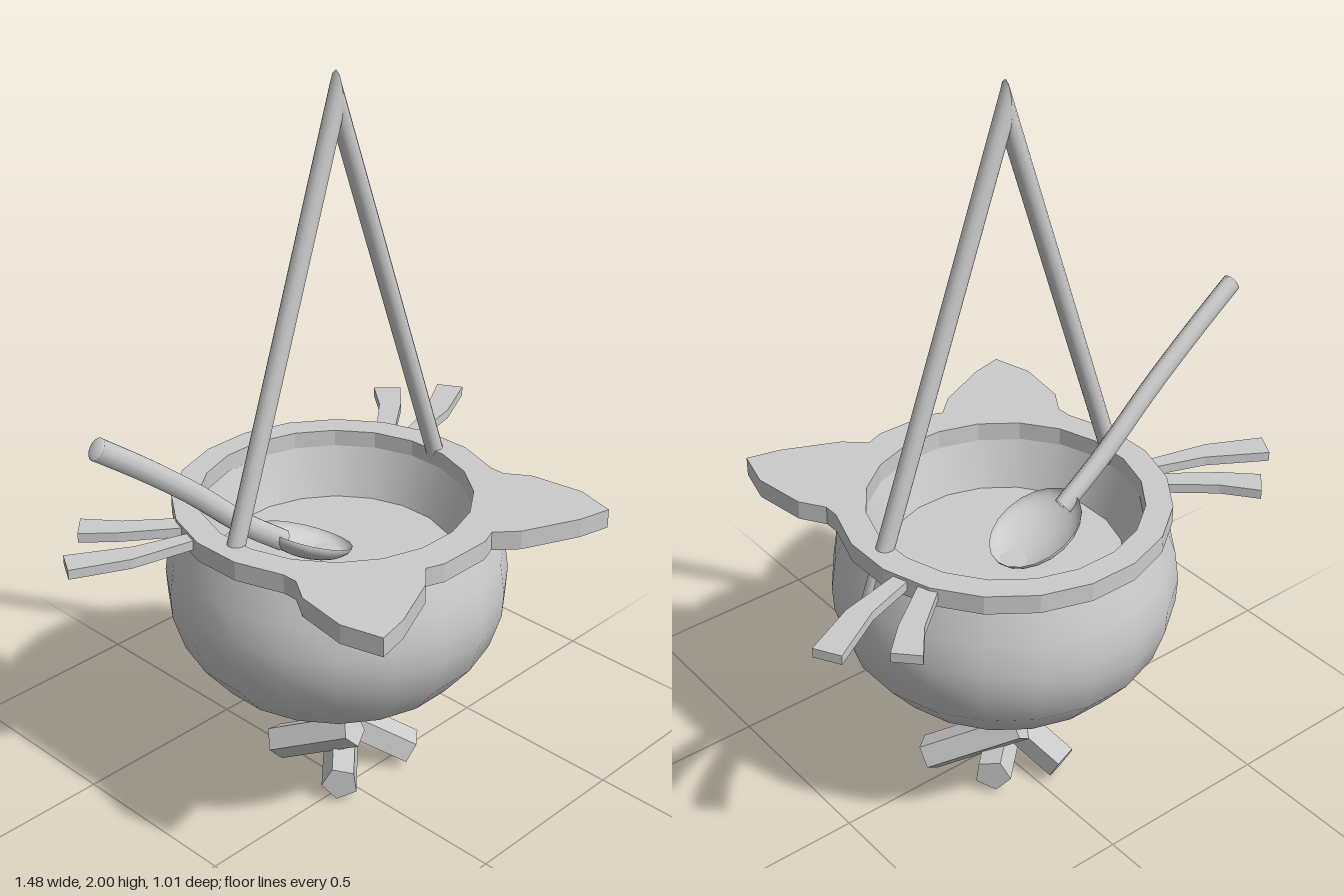
import * as THREE from 'three';

const CX = 0.017, CZ = -0.06, SIDES = 20;

export function createModel() {
  const model = new THREE.Group();
  const smooth = new THREE.MeshStandardMaterial({ color: 0xcccccc, side: THREE.DoubleSide });
  const flat = new THREE.MeshStandardMaterial({ color: 0xcccccc, flatShading: true, side: THREE.DoubleSide });
  const V = (x, y, z) => new THREE.Vector3(x, y, z);

  const add = (name, geometry, material) => {
    const mesh = new THREE.Mesh(geometry, material);
    mesh.name = name;
    model.add(mesh);
    return mesh;
  };

  // Revolved part around the pot's axis, from [radius, height] pairs
  const turned = (name, profile, material) => {
    const pts = profile.map(([r, y]) => new THREE.Vector2(r, y));
    const g = new THREE.LatheGeometry(pts, SIDES, Math.PI / SIDES);
    add(name, g.translate(CX, 0, CZ), material);
  };

  // Flat horizontal plate from [x, z] outline points
  const plate = (name, outline, y, depth, hole) => {
    const shape = new THREE.Shape(outline.map(([x, z]) => new THREE.Vector2(x, -z)));
    if (hole) shape.holes.push(new THREE.Path(hole.map(([x, z]) => new THREE.Vector2(x, -z))));
    const g = new THREE.ExtrudeGeometry(shape, { depth, bevelEnabled: false });
    add(name, g.rotateX(-Math.PI / 2).translate(0, y, 0), flat);
  };

  // Straight bar between two points
  const bar = (a, b, r, sides) => {
    const d = b.clone().sub(a);
    const g = new THREE.CylinderGeometry(r, r, d.length(), sides);
    g.applyQuaternion(new THREE.Quaternion().setFromUnitVectors(V(0, 1, 0), d.normalize()));
    const m = a.clone().add(b).multiplyScalar(0.5);
    return g.translate(m.x, m.y, m.z);
  };

  // Pot
  turned('potBase', [[0, 0.3], [0.138, 0.3], [0.24, 0.328]], flat);
  turned('potBody', [[0.24, 0.328], [0.342, 0.4], [0.418, 0.495], [0.448, 0.59],
    [0.452, 0.66], [0.44, 0.745], [0.406, 0.84]], smooth);
  turned('potInnerWall', [[0.357, 0.84], [0.312, 0.705]], smooth);
  turned('potContents', [[0.312, 0.705], [0, 0.705]], smooth);

  // Rim with two ears at the front
  const ringPoint = (k, r, cz) => {
    const a = (k + 0.5) * 2 * Math.PI / SIDES;
    return [CX + r * Math.cos(a), cz - r * Math.sin(a)];
  };
  const ear = [[0.383, 0.18], [0.425, 0.245], [0.447, 0.39], [0.418, 0.5],
    [0.33, 0.48], [0.178, 0.412], [0.122, 0.362], [0.075, 0.38]];
  const outline = [], hole = [];
  for (let k = -2; k <= 11; k++) outline.push(ringPoint(k, 0.43, -0.057));
  for (const [x, z] of ear) outline.push([CX - x, z]);
  for (const [x, z] of [...ear].reverse()) outline.push([CX + x, z]);
  for (let k = 0; k < SIDES; k++) hole.push(ringPoint(k, 0.357, -0.063));
  plate('rimWithEars', outline, 0.833, 0.052, hole);

  // Whiskers, two on each side
  const whiskers = [
    [[0.36, -0.26], [0.473, -0.355], [0.54, -0.44], [0.593, -0.385], [0.52, -0.315], [0.38, -0.21]],
    [[0.39, -0.185], [0.535, -0.235], [0.685, -0.325], [0.722, -0.26], [0.58, -0.19], [0.39, -0.145]],
  ];
  for (const s of [1, -1]) {
    for (const w of whiskers) {
      plate(s > 0 ? 'leftWhisker' : 'rightWhisker', w.map(([x, z]) => [CX + s * x, z]), 0.85, 0.026);
    }
  }

  // Hanger rods, mitred where they meet at the apex
  const apex = V(0.012, 1.927, -0.053);
  const feet = [['leftHangerRod', V(0.437, 0.738, -0.053)], ['rightHangerRod', V(-0.392, 0.738, -0.053)]];
  for (const [name, foot] of feet) {
    const g = bar(foot, apex, 0.024, 12);
    const d = apex.clone().sub(foot);
    const p = g.attributes.position;
    for (let i = 0; i < p.count; i++) {
      if (p.getY(i) < 1.5) continue;
      const t = (apex.x - p.getX(i)) / d.x;
      p.setXYZ(i, apex.x, p.getY(i) + d.y * t, p.getZ(i));
    }
    add(name, g, smooth);
  }

  // Spoon: oval, slightly bent handle with a blunt end, and a hollow bowl
  const spoonZ = -0.093;
  const path = new THREE.CatmullRomCurve3([V(-0.72, 1.27, 0), V(-0.58, 1.163, 0),
    V(-0.44, 1.047, 0), V(-0.28, 0.9, 0), V(-0.15, 0.8, 0)]);
  const handle = new THREE.TubeGeometry(path, 16, 0.029, 10).scale(1, 1, 0.78);
  add('spoonHandle', handle.translate(0, 0, spoonZ), smooth);
  const cap = add('spoonHandleEnd', new THREE.SphereGeometry(1, 10, 8), smooth);
  cap.scale.set(0.008, 0.029, 0.022);
  cap.rotation.z = -0.65;
  cap.position.set(-0.72, 1.27, spoonZ);
  const bowl = add('spoonBowl',
    new THREE.SphereGeometry(1, 20, 10, 0, Math.PI * 2, Math.PI / 2, Math.PI / 2), smooth);
  bowl.scale.set(0.136, 0.055, 0.112);
  bowl.rotation.z = -0.42;
  bowl.position.set(-0.058, 0.775, spoonZ);

  // Firewood: three logs leaning on each other
  const logs = [
    [V(0.195, 0.043, 0.05), V(0.02, 0.18, -0.135)],
    [V(-0.08, 0.06, 0.045), V(0.125, 0.06, -0.145)],
    [V(-0.06, 0.06, -0.22), V(0.015, 0.175, 0.005)],
  ];
  for (const [a, b] of logs) add('log', bar(a, b, 0.051, 5), flat);

  return model;
}
